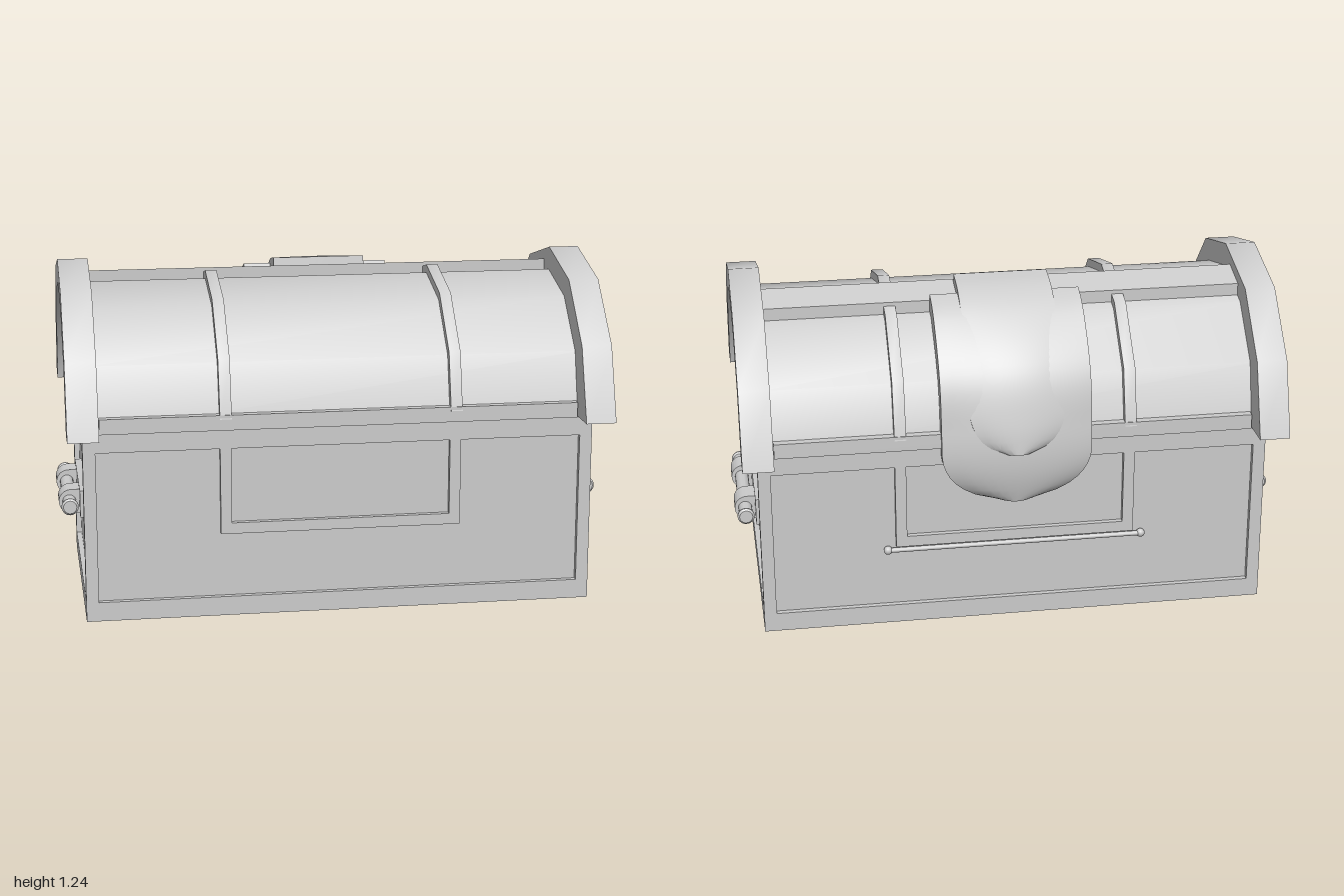
import * as THREE from 'three';
import { toCreasedNormals } from 'three/addons/utils/BufferGeometryUtils.js';

const material = new THREE.MeshStandardMaterial({ color: 0xcccccc });

function add(parent, name, geometry, x = 0, y = 0, z = 0) {
  const mesh = new THREE.Mesh(geometry, material);
  mesh.name = name;
  mesh.position.set(x, y, z);
  parent.add(mesh);
  return mesh;
}

function box(parent, name, w, h, d, x, y, z) {
  return add(parent, name, new THREE.BoxGeometry(w, h, d), x, y, z);
}

// Polygon from [x, y] pairs
const poly = (pts) => pts.map(([x, y]) => new THREE.Vector2(x, y));
const rect = (x0, y0, x1, y1) => poly([[x0, y0], [x1, y0], [x1, y1], [x0, y1]]);
// Mirror half a profile, which ends on the centre line
const mirrored = (half) => [...half, ...half.slice(0, -1).reverse().map(([a, b]) => [-a, b])];

// Flat plate in the xy plane with openings
function plate(outline, holes, depth) {
  const shape = new THREE.Shape(outline);
  holes.forEach((h) => shape.holes.push(new THREE.Path(h)));
  return new THREE.ExtrudeGeometry(shape, { depth, bevelEnabled: false });
}

// Side profile swept along x, centred on its width
function sweepX(pts, width) {
  const g = plate(poly(pts), [], width);
  g.translate(0, 0, -width / 2).rotateY(Math.PI / 2);
  return toCreasedNormals(g, 0.7);
}

// Bowed strap following a [z, y] path down the back, with a rounded tip
function strap(path, halfWidth, thick, endThick, bow, roundFrom) {
  const rows = 28, cols = 12, ring = 2 * (cols + 1);
  const curve = new THREE.CatmullRomCurve3(path.map(([z, y]) => new THREE.Vector3(0, y, z)));
  const pos = [], index = [];
  for (let i = 0; i <= rows; i++) {
    const t = i / rows;
    const p = curve.getPointAt(t), d = curve.getTangentAt(t);
    const e = Math.max(0, (t - roundFrom) / (1 - roundFrom)) * 0.97;
    const w = halfWidth * Math.sqrt(1 - e * e);
    const h = THREE.MathUtils.lerp(thick, endThick, e * e);
    for (let k = 0; k < ring; k++) {
      const outer = k <= cols;
      const s = (outer ? k : ring - 1 - k) / cols * 2 - 1;
      const off = outer ? h - bow * Math.min(1, t * 1.6) * s * s : 0;
      pos.push(s * w, p.y - d.z * off, p.z + d.y * off);
    }
  }
  for (let i = 0; i < rows; i++) {
    for (let k = 0; k < ring; k++) {
      const a = i * ring + k, b = i * ring + (k + 1) % ring;
      index.push(a, b, b + ring, a, b + ring, a + ring);
    }
  }
  const last = rows * ring;
  for (let k = 0; k < cols; k++) {
    const m = ring - 1 - k;
    index.push(k + 1, k, m, k + 1, m, m - 1);
    index.push(last + k, last + k + 1, last + m, last + k + 1, last + m - 1, last + m);
  }
  const g = new THREE.BufferGeometry();
  g.setAttribute('position', new THREE.Float32BufferAttribute(pos, 3));
  g.setIndex(index);
  return toCreasedNormals(g, 0.7);
}

function createBase() {
  const base = new THREE.Group();
  base.name = 'base';
  box(base, 'baseCore', 1.8, 0.69, 0.88, 0, 0.345, 0);

  // Front and back frames with a U-shaped strip around a middle panel
  const outerPanel = poly([[-0.875, 0.07], [0.875, 0.07], [0.875, 0.62], [0.435, 0.62],
    [0.435, 0.305], [-0.435, 0.305], [-0.435, 0.62], [-0.875, 0.62]]);
  const longFrame = plate(rect(-0.92, 0, 0.92, 0.69),
    [outerPanel, rect(-0.395, 0.345, 0.395, 0.62)], 0.02);
  add(base, 'frontFrame', longFrame, 0, 0, 0.44);
  add(base, 'backFrame', longFrame, 0, 0, -0.44).rotation.y = Math.PI;

  // End frames
  const endFrame = plate(rect(-0.44, 0, 0.44, 0.69), [rect(-0.415, 0.07, 0.415, 0.62)], 0.02);
  for (const s of [-1, 1]) {
    add(base, s > 0 ? 'leftFrame' : 'rightFrame', endFrame, s * 0.9, 0, 0).rotation.y = s * Math.PI / 2;
  }

  // Thin rod with ball ends on the back
  const rod = new THREE.CylinderGeometry(0.009, 0.009, 0.92, 12).rotateZ(Math.PI / 2);
  add(base, 'backRod', rod, 0, 0.292, -0.457);
  for (const s of [-1, 1]) add(base, 'rodEnd', new THREE.SphereGeometry(0.016, 14, 10), s * 0.465, 0.292, -0.455);
  return base;
}

function createHandle() {
  const handle = new THREE.Group();
  handle.name = 'handle';
  box(handle, 'handlePlate', 0.03, 0.1, 0.455, 0.91, 0.37, 0);

  // Grip with stepped ends
  const half = [[0, 0.262], [0.024, 0.262], [0.031, 0.256], [0.031, 0.25], [0.025, 0.244], [0.025, 0]];
  const profile = poly([...half, ...half.slice(0, -1).reverse().map(([r, y]) => [r, -y])].reverse());
  const grip = toCreasedNormals(new THREE.LatheGeometry(profile, 20).rotateX(Math.PI / 2), 0.6);
  add(handle, 'handleGrip', grip, 0.962, 0.37, 0);

  // Rounded brackets wrapping the grip
  const shape = new THREE.Shape();
  shape.moveTo(0.9, 0.325);
  shape.lineTo(0.955, 0.325);
  shape.absarc(0.955, 0.37, 0.045, -Math.PI / 2, Math.PI / 2, false);
  shape.lineTo(0.9, 0.415);
  const bracket = toCreasedNormals(
    new THREE.ExtrudeGeometry(shape, { depth: 0.09, bevelEnabled: false, curveSegments: 12 }), 0.6);
  for (const z of [-0.182, 0.092]) add(handle, 'handleBracket', bracket, 0, 0, z);
  return handle;
}

function createLid() {
  const lid = new THREE.Group();
  lid.name = 'lid';
  const inner = mirrored([[0.46, 0.69], [0.4, 0.92], [0.23, 1.09], [0, 1.15]]);
  const outer = mirrored([[0.58, 0.69], [0.49, 0.955], [0.29, 1.16], [0, 1.235]]);
  const rib = mirrored([[0.476, 0.73], [0.425, 0.935], [0.245, 1.117], [0, 1.18]]);

  add(lid, 'lidBody', sweepX(inner, 1.79));
  box(lid, 'lidRim', 1.72, 0.055, 0.95, 0, 0.7175, 0);
  box(lid, 'lidEndRim', 1.84, 0.055, 0.9, 0, 0.7175, 0);

  // End arches and ribs
  const arch = sweepX([...outer, ...[...inner].reverse()], 0.11);
  const ribGeometry = sweepX(rib, 0.042);
  for (const s of [-1, 1]) {
    add(lid, s > 0 ? 'leftArch' : 'rightArch', arch, s * 0.92);
    add(lid, s > 0 ? 'leftRib' : 'rightRib', ribGeometry, s * 0.415);
  }

  // Hinge bar just behind the ridge
  add(lid, 'ridgeBar', sweepX([[0.07, 1.1], [0.19, 1.06], [0.19, 1.145], [0.07, 1.178]], 1.74));

  // Wide clasp plate and the tongue lying over it
  add(lid, 'claspPlate', strap([[-0.17, 1.1], [-0.24, 1.075], [-0.4, 0.915], [-0.447, 0.745],
    [-0.455, 0.62], [-0.45, 0.475]], 0.27, 0.072, 0.045, 0.03, 0.74));
  add(lid, 'claspTongue', strap([[-0.085, 1.165], [-0.18, 1.15], [-0.28, 1.095], [-0.43, 0.94],
    [-0.49, 0.77], [-0.51, 0.668]], 0.17, 0.04, 0.035, 0.022, 0.78));
  return lid;
}

export function createModel() {
  const chest = new THREE.Group();
  chest.name = 'chest';
  chest.add(createBase(), createLid());
  for (const s of [0, 1]) {
    const handle = createHandle();
    handle.name = s ? 'rightHandle' : 'leftHandle';
    handle.rotation.y = s * Math.PI;
    chest.add(handle);
  }
  return chest;
}
